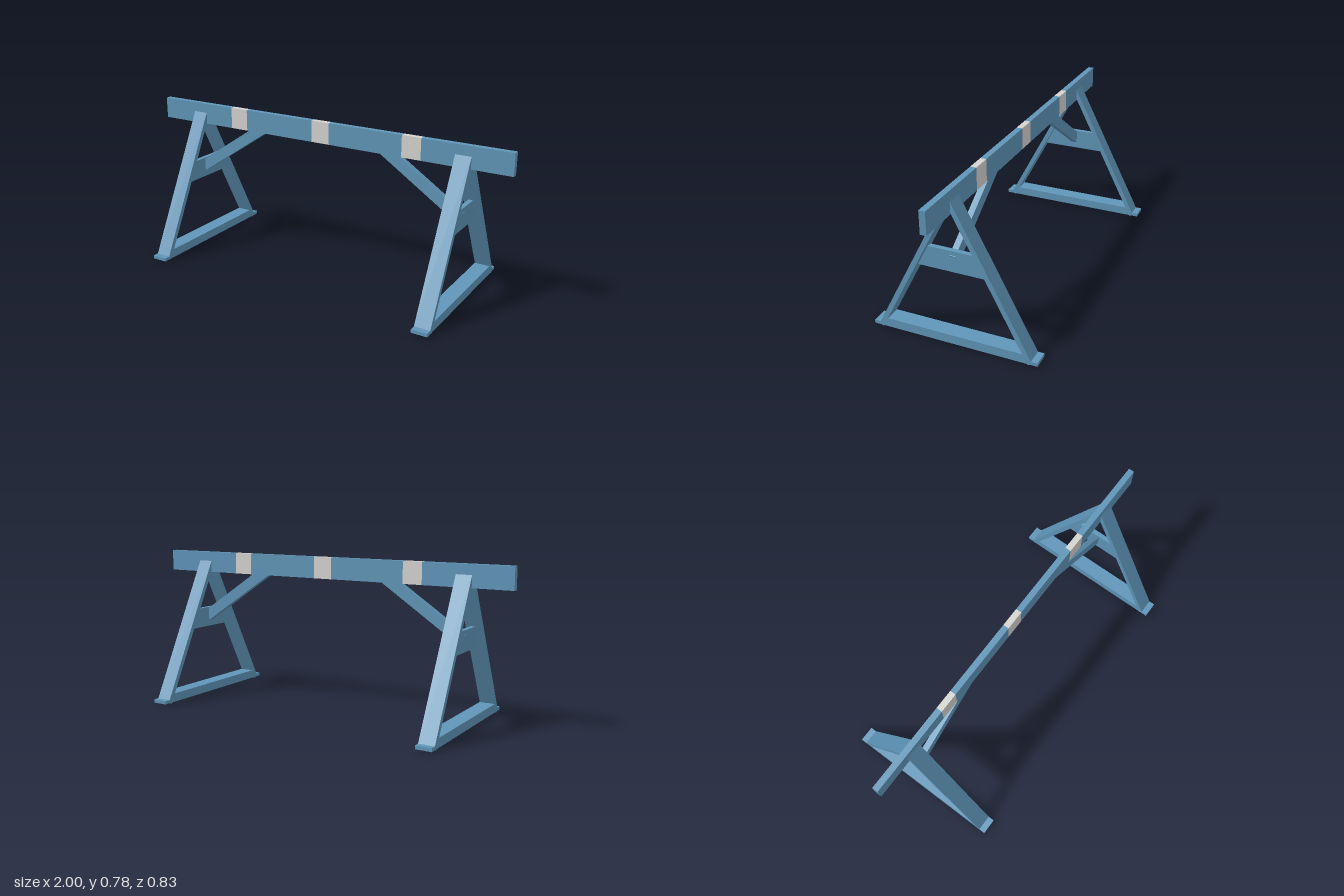
import * as THREE from 'three';

export function createModel() {
  const blue = new THREE.MeshStandardMaterial({ color: 0x5f95b8 });
  blue.name = 'blue paint';
  const pale = new THREE.MeshStandardMaterial({ color: 0xd4d3d0 });
  pale.name = 'pale grey band';

  const model = new THREE.Group();
  model.name = 'barrierTrestle';

  const add = (parent, name, geometry, material, x, y, z) => {
    const mesh = new THREE.Mesh(geometry, material);
    mesh.name = name;
    mesh.position.set(x, y, z);
    parent.add(mesh);
    return mesh;
  };
  const box = (parent, name, size, pos, material = blue) =>
    add(parent, name, new THREE.BoxGeometry(...size), material, ...pos);

  // Top beam, split into alternating blue lengths and pale bands
  const beam = new THREE.Group();
  beam.name = 'beam';
  model.add(beam);
  const cuts = [-1, -0.55, -0.45, -0.05, 0.05, 0.45, 0.55, 1];
  for (let i = 0; i < cuts.length - 1; i++) {
    const band = i % 2 === 1;
    box(beam, band ? 'beamBand' : 'beamLength', [cuts[i + 1] - cuts[i], 0.11, 0.03],
      [(cuts[i] + cuts[i + 1]) / 2, 0.725, 0], band ? pale : blue);
  }

  // Trapezoid gusset whose ends run up the middle of the legs
  const gussetShape = new THREE.Shape([
    [-0.189, 0.368], [0.189, 0.368], [0.135, 0.473], [-0.135, 0.473],
  ].map(([z, y]) => new THREE.Vector2(z, y)));
  const gussetGeometry = new THREE.ExtrudeGeometry(gussetShape, { depth: 0.024, bevelEnabled: false });
  gussetGeometry.translate(0, 0, -0.012);
  gussetGeometry.rotateY(Math.PI / 2);

  // Leg centre line, from the foot to the middle of the beam
  const legZ = 0.3775, legBottom = 0.0055, legTop = 0.733;
  const legLength = Math.hypot(legZ, legTop - legBottom);
  const legTilt = Math.atan2(legZ, legTop - legBottom);

  // Brace centre line, from the gusset up into the beam
  const low = [0.757, 0.4265], high = [0.343, 0.7];
  const braceLength = Math.hypot(low[0] - high[0], high[1] - low[1]);
  const braceTilt = Math.atan2(high[1] - low[1], low[0] - high[0]);

  for (const side of [-1, 1]) {
    const frame = new THREE.Group();
    frame.name = side > 0 ? 'leftFrame' : 'rightFrame';
    model.add(frame);
    const x = side * 0.76;

    // Foot plate with the rail on top of it
    box(frame, 'foot', [0.08, 0.017, 0.828], [x, 0.0135, 0]);
    box(frame, 'lowerRail', [0.08, 0.028, 0.706], [x, 0.036, 0]);

    // Front and back sloping legs
    for (const end of [-1, 1]) {
      const leg = box(frame, end > 0 ? 'frontLeg' : 'backLeg', [0.08, legLength, 0.024],
        [x, (legBottom + legTop) / 2, end * legZ / 2]);
      leg.rotation.x = -end * legTilt;
    }

    add(frame, 'gusset', gussetGeometry, blue, side * 0.758, 0, 0);

    // Diagonal brace under the beam
    const brace = box(frame, 'brace', [braceLength, 0.0565, 0.03],
      [side * (low[0] + high[0]) / 2, (low[1] + high[1]) / 2, 0]);
    brace.rotation.z = -side * braceTilt;
  }
  return model;
}
